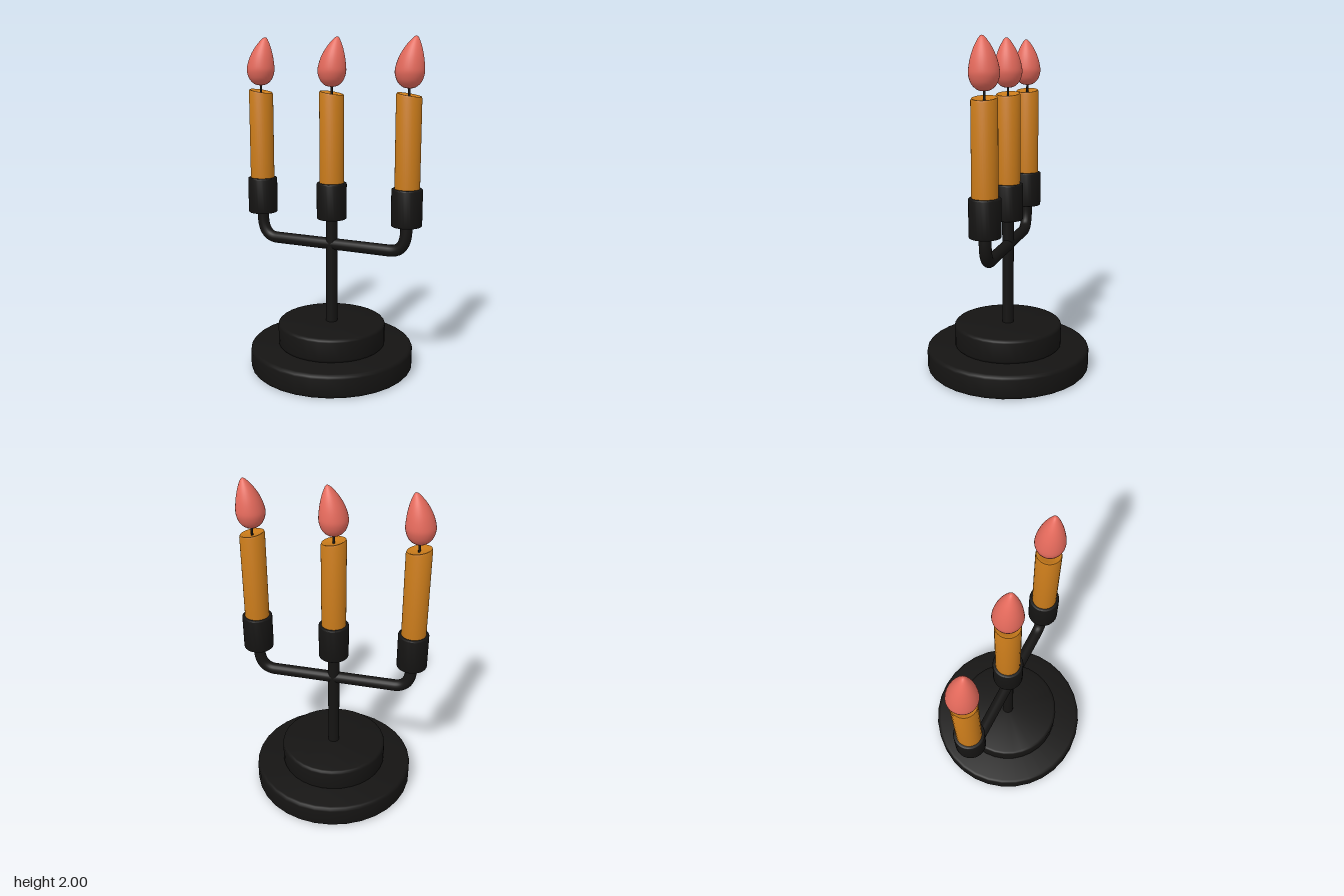
import * as THREE from 'three';
import { toCreasedNormals } from 'three/addons/utils/BufferGeometryUtils.js';

const iron = new THREE.MeshStandardMaterial({ color: 0x151413 });
const wax = new THREE.MeshStandardMaterial({ color: 0xc87a1a });
const fire = new THREE.MeshStandardMaterial({ color: 0xe56a5c });

const ARM_X = 0.475;
const ROD = 0.035;

function mesh(name, geometry, material) {
  const m = new THREE.Mesh(geometry, material);
  m.name = name;
  return m;
}

const lathe = (points, sides) =>
  new THREE.LatheGeometry(points.map(([r, y]) => new THREE.Vector2(r, y)), sides);

// Solid disc with rounded rims, from y0 to y1
function roundedDisc(radius, y0, y1, bevel, sides = 32) {
  const pts = [[0, y0]];
  for (let i = 0; i <= 3; i++) {
    const a = (i / 3) * Math.PI / 2;
    pts.push([radius - bevel + bevel * Math.sin(a), y0 + bevel - bevel * Math.cos(a)]);
  }
  for (let i = 0; i <= 3; i++) {
    const a = (i / 3) * Math.PI / 2;
    pts.push([radius - bevel + bevel * Math.cos(a), y1 - bevel + bevel * Math.sin(a)]);
  }
  pts.push([0, y1]);
  return toCreasedNormals(lathe(pts, sides), 0.65);
}

// Move every vertex by a rule
function deform(geometry, rule) {
  const p = geometry.attributes.position;
  const v = new THREE.Vector3();
  for (let i = 0; i < p.count; i++) {
    rule(v.fromBufferAttribute(p, i));
    p.setXYZ(i, v.x, v.y, v.z);
  }
  geometry.computeVertexNormals();
  return geometry;
}

// Wax cylinder with a slanted, slightly dished top
function candleGeometry() {
  const g = lathe([[0, 1.1], [0.073, 1.1], [0.073, 1.672], [0.069, 1.682],
    [0.062, 1.682], [0.045, 1.672], [0, 1.668]], 32);
  deform(g, v => { if (v.y > 1.5) v.y -= 0.17 * v.x; });
  return toCreasedNormals(g, 0.75);
}

// Teardrop whose tip leans toward +x
function flameGeometry() {
  const curve = new THREE.SplineCurve([[0, 1.715], [0.035, 1.722], [0.066, 1.75],
    [0.082, 1.793], [0.082, 1.83], [0.07, 1.885], [0.049, 1.938],
    [0.024, 1.98], [0.009, 1.997], [0, 2]].map(p => new THREE.Vector2(...p)));
  const pts = curve.getPoints(27).map(p => [Math.max(p.x, 0), p.y]);
  pts[0][0] = pts[pts.length - 1][0] = 0;
  const g = lathe(pts, 32);
  // Lean while keeping the smooth lathe normals
  const p = g.attributes.position;
  for (let i = 0; i < p.count; i++) {
    const t = Math.max(0, (p.getY(i) - 1.78) / 0.22);
    p.setX(i, p.getX(i) + 0.035 * t * t);
  }
  return g;
}

export function createModel() {
  const model = new THREE.Group();
  model.name = 'candelabra';

  // Stepped base and central stem
  model.add(mesh('baseLower', roundedDisc(0.5, 0, 0.142, 0.022), iron));
  model.add(mesh('baseUpper', roundedDisc(0.33, 0.14, 0.285, 0.018), iron));
  const stem = mesh('stem', new THREE.CylinderGeometry(ROD, ROD, 0.7, 20), iron);
  stem.position.y = 0.61;
  model.add(stem);

  // One bent rod carrying both outer holders
  const V = (x, y) => new THREE.Vector3(x, y, 0);
  const path = new THREE.CurvePath();
  path.add(new THREE.LineCurve3(V(-ARM_X, 0.96), V(-ARM_X, 0.91)));
  path.add(new THREE.QuadraticBezierCurve3(V(-ARM_X, 0.91), V(-ARM_X, 0.775), V(-0.375, 0.775)));
  path.add(new THREE.LineCurve3(V(-0.375, 0.775), V(0.375, 0.775)));
  path.add(new THREE.QuadraticBezierCurve3(V(0.375, 0.775), V(ARM_X, 0.775), V(ARM_X, 0.91)));
  path.add(new THREE.LineCurve3(V(ARM_X, 0.91), V(ARM_X, 0.96)));
  model.add(mesh('arms', new THREE.TubeGeometry(path, 90, ROD, 20), iron));

  // Holder, candle, wick and flame, three times
  const holderGeo = roundedDisc(0.09, 0.932, 1.152, 0.008);
  const candleGeo = candleGeometry();
  const wickGeo = new THREE.CylinderGeometry(0.007, 0.007, 0.08, 10).translate(0, 1.695, 0);
  const flameGeo = flameGeometry();
  [['right', -ARM_X], ['centre', 0], ['left', ARM_X]].forEach(([side, x]) => {
    const g = new THREE.Group();
    g.name = side + 'Candle';
    g.position.x = x;
    g.add(mesh('holder', holderGeo, iron), mesh('candle', candleGeo, wax),
      mesh('wick', wickGeo, iron), mesh('flame', flameGeo, fire));
    model.add(g);
  });

  return model;
}
